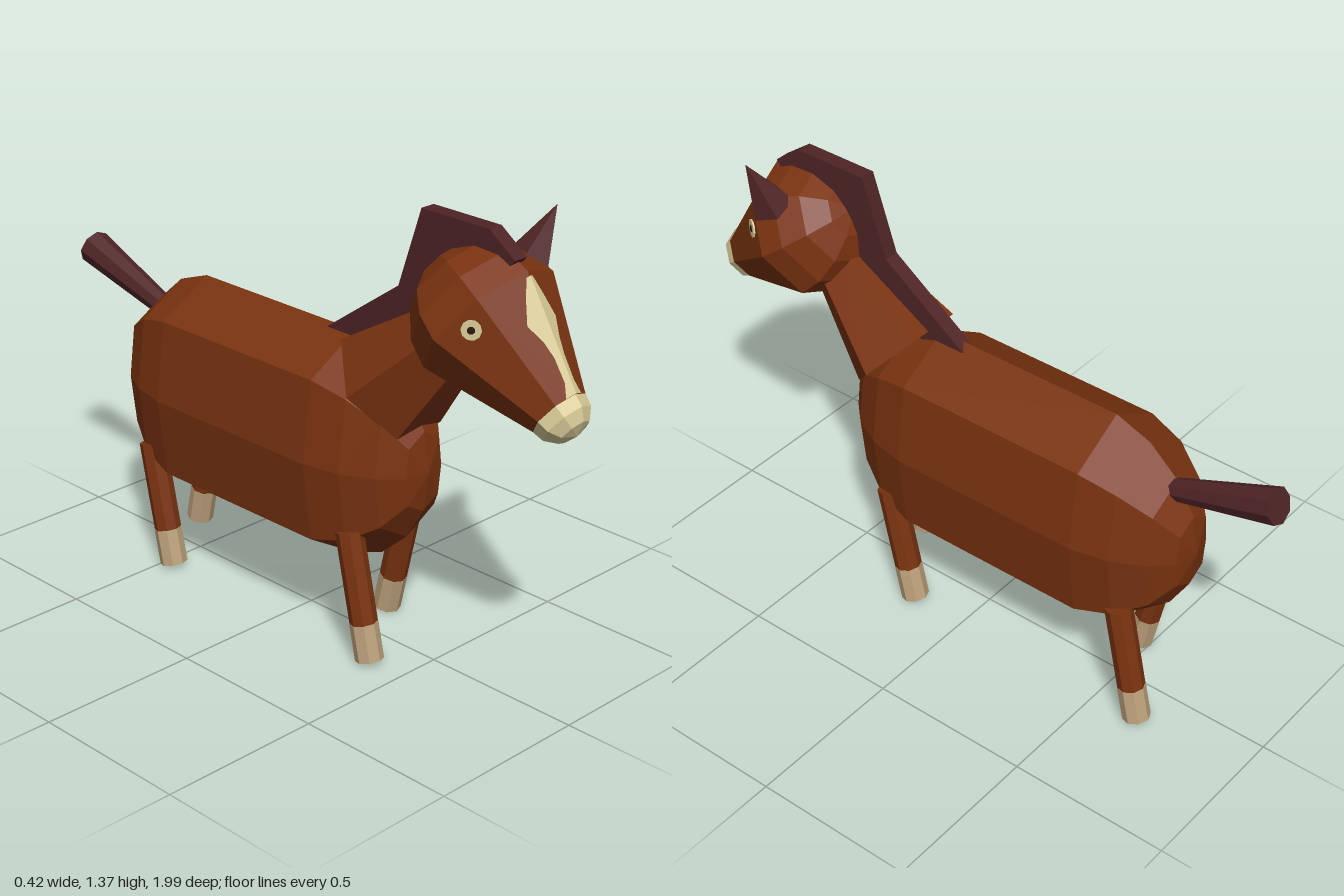
import * as THREE from 'three';

const mat = (name, color) => {
  const m = new THREE.MeshStandardMaterial({ color });
  m.name = name;
  return m;
};

// Faceted copy of a geometry
function facet(geo) {
  const g = geo.index ? geo.toNonIndexed() : geo;
  g.computeVertexNormals();
  return g;
}

function addMesh(parent, name, geo, material) {
  const mesh = new THREE.Mesh(facet(geo), material);
  mesh.name = name;
  parent.add(mesh);
  return mesh;
}

const lathe = (pts) => new THREE.LatheGeometry(pts.map(([r, y]) => new THREE.Vector2(r, y)), 8);

// Tapered prism running from point a to point b
function addLimb(parent, name, a, b, ra, rb, material, sides = 8, turn = 0) {
  const from = new THREE.Vector3(...a), dir = new THREE.Vector3(...b).sub(from);
  const len = dir.length();
  const geo = new THREE.CylinderGeometry(rb, ra, len, sides, 1, false, turn);
  geo.translate(0, len / 2, 0);
  const mesh = addMesh(parent, name, geo, material);
  mesh.position.copy(from);
  mesh.quaternion.setFromUnitVectors(new THREE.Vector3(0, 1, 0), dir.normalize());
  return mesh;
}

export function createModel() {
  const coat = mat('chestnut coat', 0x7a3310);
  const hair = mat('dark mane', 0x4f2426);
  const cream = mat('cream markings', 0xd8ca98);
  const horn = mat('hoof', 0xbda17c);
  const dark = mat('pupil', 0x2a160c);
  const group = new THREE.Group();
  group.name = 'horse';

  // Barrel: eight-sided capsule lying along z, with fuller shoulders
  const cap = [[0, 0.29], [0.35, 0.27], [0.64, 0.21], [0.88, 0.115], [1, 0]];
  const body = lathe([
    ...cap.map(([r, d]) => [r, -0.44 - d]),
    ...cap.slice().reverse().map(([r, d]) => [r, 0.18 + d]),
  ]);
  const p = body.attributes.position;
  for (let i = 0; i < p.count; i++) {
    const diagonal = Math.abs(p.getX(i)) > 1e-4 && Math.abs(p.getZ(i)) > 1e-4;
    p.setX(i, p.getX(i) * 0.205 * (diagonal ? 1.2 : 1));
    p.setZ(i, p.getZ(i) * 0.347);
  }
  body.rotateX(Math.PI / 2);
  addMesh(group, 'body', body, coat).position.set(-0.005, 0.578, 0);

  // Neck: hexagonal, flat along the crest
  addLimb(group, 'neck', [0, 0.81, 0.315], [0, 1.04, 0.565], 0.185, 0.1, coat, 6, Math.PI / 6)
    .scale.x = 0.95;

  // Head: local y runs towards the muzzle, local -z towards the forehead
  const head = new THREE.Group();
  head.name = 'head';
  head.position.set(0, 1.09, 0.665);
  head.rotation.x = Math.acos(-0.6);
  group.add(head);
  const R = 0.212, slope = 0.405, muzzleAt = 0.315;
  const radius = (s) => R - slope * s;
  const back = [0, 1, 2, 3, 4].map((i) => {
    const a = (i / 4) * Math.PI / 2;
    return [R * Math.sin(a), -R * Math.cos(a)];
  });
  addMesh(head, 'skull', lathe([...back, [radius(muzzleAt), muzzleAt]]), coat);
  addMesh(head, 'muzzle', lathe([[radius(muzzleAt), muzzleAt], [0.077, 0.35], [0.05, 0.38], [0, 0.394]]), cream);

  // Blaze: thin strip folded over the nose ridge, [distance, half width]
  const tan = Math.tan(Math.PI / 8);
  const blaze = [[0.015, 0.012], [0.06, 0.034], [0.117, 0.056], [0.17, 0.031],
    [0.215, 0.02], [0.28, 0.018], [muzzleAt, 0.03]];
  const verts = [], faces = [];
  blaze.forEach(([s, w], i) => {
    for (const k of [-1, 0, 1]) verts.push(k * w, s, -(radius(s) + 0.004 - tan * Math.abs(k) * w));
    if (i === 0) return;
    for (const k of [0, 1]) {
      const a = (i - 1) * 3 + k, b = a + 3;
      faces.push(a, b, a + 1, a + 1, b, b + 1);
    }
  });
  const blazeGeo = new THREE.BufferGeometry();
  blazeGeo.setAttribute('position', new THREE.Float32BufferAttribute(verts, 3));
  blazeGeo.setIndex(faces);
  addMesh(head, 'blaze', blazeGeo, cream);

  // Eyes: thin discs lying on the upper cheek facets
  const tilt = Math.atan(slope / Math.cos(Math.PI / 8));
  for (const side of [1, -1]) {
    const n = new THREE.Vector3(
      side * Math.cos(tilt) * Math.cos(Math.PI / 8), Math.sin(tilt),
      -Math.cos(tilt) * Math.sin(Math.PI / 8));
    const eye = new THREE.Group();
    eye.name = side > 0 ? 'leftEye' : 'rightEye';
    eye.position.set(side * 0.16, 0.044, -0.08);
    eye.quaternion.setFromUnitVectors(new THREE.Vector3(0, 1, 0), n);
    head.add(eye);
    addMesh(eye, 'eyeball', new THREE.CylinderGeometry(0.028, 0.028, 0.009, 10), cream);
    addMesh(eye, 'pupil', new THREE.CylinderGeometry(0.011, 0.011, 0.009, 8), dark).position.y = 0.002;
  }

  // Single pointed ear on the model's left
  addLimb(group, 'ear', [0.14, 1.22, 0.68], [0.203, 1.373, 0.715], 0.066, 0.0005, hair, 5);

  // Mane: flat plate along the crest, outline as [z, y]
  const outline = [[0.08, 0.91], [0.36, 1.11], [0.44, 1.35], [0.68, 1.35], [0.77, 1.285], [0.6, 1.1], [0.2, 0.87]];
  const mane = new THREE.ExtrudeGeometry(
    new THREE.Shape(outline.map(([z, y]) => new THREE.Vector2(-z, y))),
    { depth: 0.047, bevelEnabled: false });
  mane.translate(0, 0, -0.0235);
  mane.rotateY(Math.PI / 2);
  addMesh(group, 'mane', mane, hair);

  // Tail, flaring to a blunt end
  addLimb(group, 'tail', [0, 0.755, -0.6], [0, 0.88, -0.973], 0.03, 0.054, hair);

  // Legs in mid stride: [name, x, top z, foot z]
  const legs = [
    ['leftFrontLeg', 0.133, 0.272, 0.185], ['rightFrontLeg', -0.14, 0.295, 0.38],
    ['leftHindLeg', 0.133, -0.57, -0.65], ['rightHindLeg', -0.14, -0.55, -0.465],
  ];
  for (const [name, x, topZ, footZ] of legs) {
    const leg = new THREE.Group();
    leg.name = name;
    group.add(leg);
    const ankle = [x, 0.12, footZ + (topZ - footZ) * 0.29];
    addLimb(leg, 'shank', ankle, [x, 0.39, topZ], 0.041, 0.041, coat);
    addLimb(leg, 'hoof', [x, 0.01, footZ], ankle, 0.042, 0.042, horn);
  }
  return group;
}
